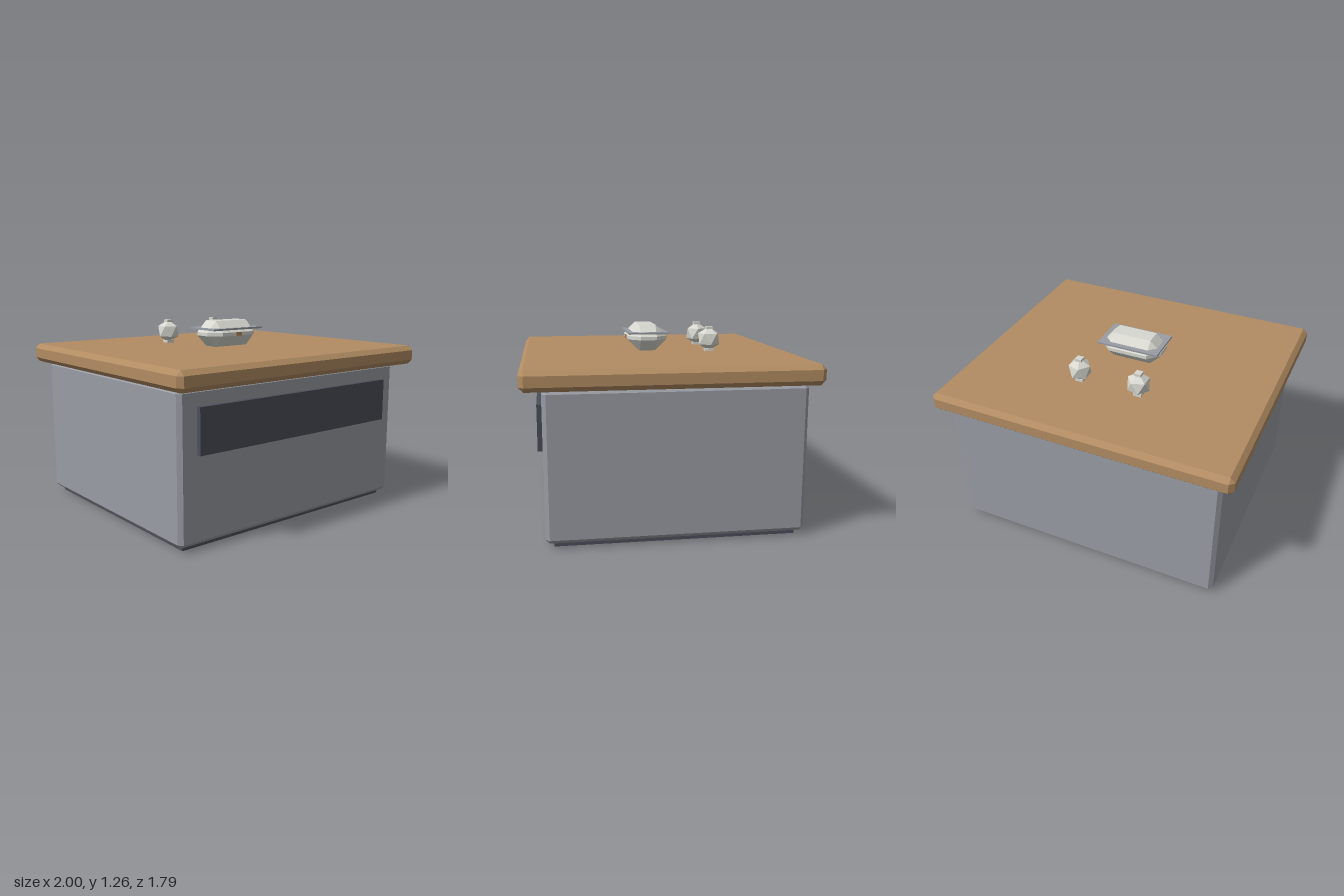
import * as THREE from 'three';
import { ConvexGeometry } from 'three/addons/geometries/ConvexGeometry.js';

const paint = (name, color) => {
  const m = new THREE.MeshStandardMaterial({ color });
  m.name = name;
  return m;
};

// Box with every edge cut at 45 degrees by c
function chamferBox(w, h, d, c) {
  const pts = [], half = [w / 2, h / 2, d / 2];
  for (const sx of [-1, 1]) for (const sy of [-1, 1]) for (const sz of [-1, 1])
    for (let full = 0; full < 3; full++) {
      const p = half.map((v, i) => (i === full ? v : v - c));
      pts.push(new THREE.Vector3(p[0] * sx, p[1] * sy, p[2] * sz));
    }
  return new ConvexGeometry(pts);
}

export function createModel() {
  const model = new THREE.Group();
  model.name = 'counter';
  const wood = paint('wood', 0xb28c62);
  const grey = paint('grey metal', 0x999ca4);
  const dark = paint('dark slate', 0x4b4f5a);
  const pale = paint('pale ceramic', 0xd8d8d1);

  const add = (name, geometry, material, x, y, z, parent = model) => {
    const mesh = new THREE.Mesh(geometry, material);
    mesh.name = name;
    mesh.position.set(x, y, z);
    parent.add(mesh);
    return mesh;
  };

  // Cabinet
  add('plinth', new THREE.BoxGeometry(1.74, 0.04, 1.49), dark, 0, 0.02, -0.025);
  add('cabinet', chamferBox(1.84, 0.925, 1.59, 0.025), grey, 0, 0.4925, -0.025);
  add('frontPanel', new THREE.BoxGeometry(1.59, 0.28, 0.04), dark, 0, 0.71, 0.78);
  add('worktop', chamferBox(2, 0.125, 1.79, 0.03), wood, 0, 1.0175, 0);

  // Lidded dish with a rim plate and a latch
  const dish = new THREE.Group();
  dish.name = 'dish';
  dish.position.set(0, 1.168, 0.05);
  model.add(dish);
  add('dishBody', chamferBox(0.42, 0.175, 0.26, 0.076), pale, 0, 0, 0, dish);
  add('dishRim', new THREE.BoxGeometry(0.426, 0.012, 0.27), grey, 0, 0.034, 0, dish);
  add('dishLatch', new THREE.BoxGeometry(0.05, 0.025, 0.02), wood, 0, 0, 0.13, dish);

  // Two faceted shakers, standing on a vertex
  const ball = new THREE.IcosahedronGeometry(0.081, 0);
  ball.rotateZ(-Math.atan(2 / (1 + Math.sqrt(5))));
  for (const side of [-1, 1]) {
    const shaker = new THREE.Group();
    shaker.name = side > 0 ? 'leftShaker' : 'rightShaker';
    shaker.position.set(side * 0.205, 1.162, -0.36);
    shaker.rotation.y = side > 0 ? Math.PI : 0;
    model.add(shaker);
    add('shakerBody', ball, pale, 0, 0, 0, shaker);
    add('shakerCap', new THREE.BoxGeometry(0.045, 0.018, 0.045), pale, 0, 0.074, 0, shaker);
    add('shakerFoot', new THREE.BoxGeometry(0.055, 0.02, 0.055), pale, 0, -0.073, 0, shaker);
  }
  return model;
}
